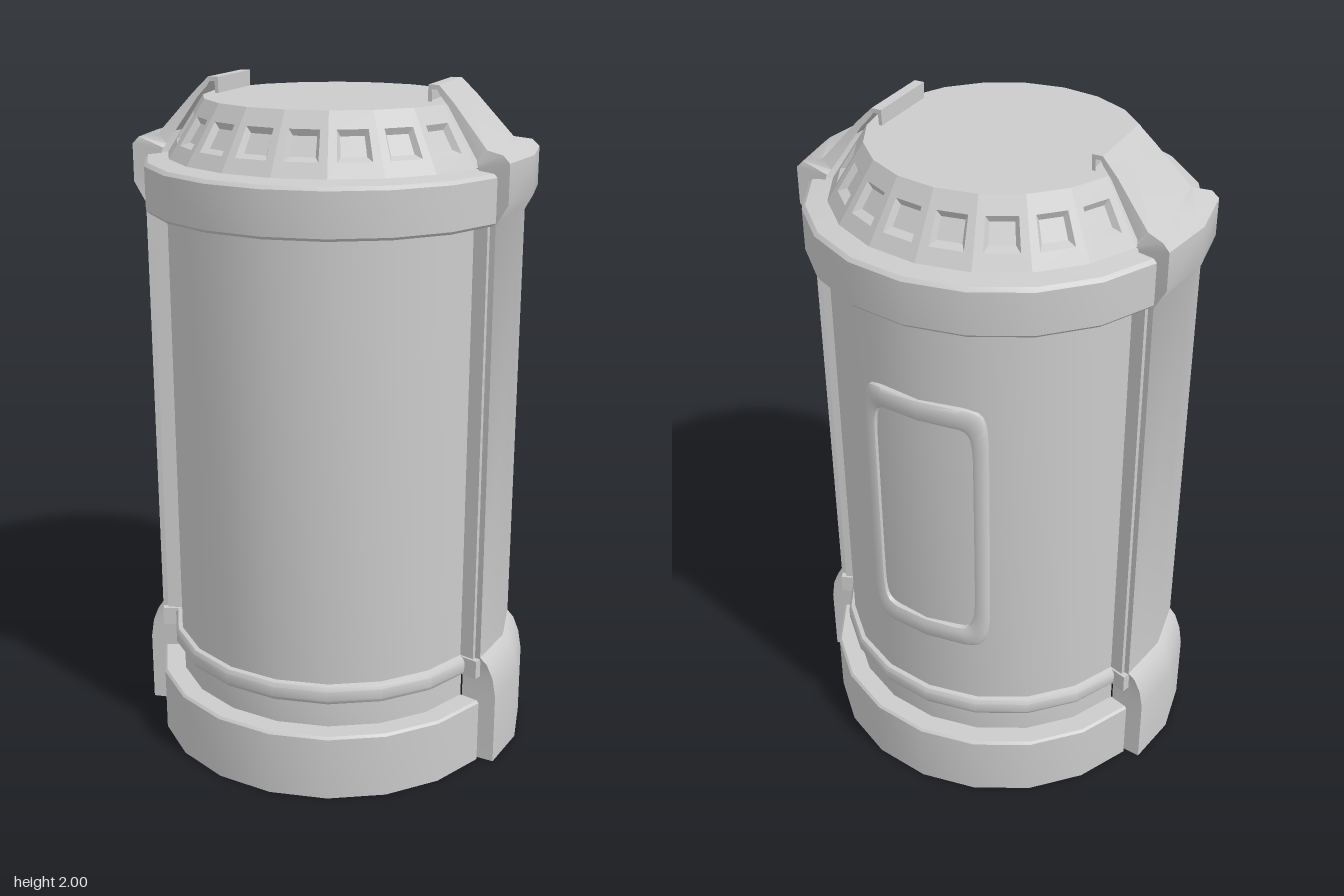
import * as THREE from 'three';
import { toCreasedNormals } from 'three/addons/utils/BufferGeometryUtils.js';

const material = new THREE.MeshStandardMaterial({ color: 0xcccccc, side: THREE.DoubleSide });
const SIDES = 20;
const STEP = (Math.PI * 2) / SIDES;

function addMesh(parent, name, geometry) {
  const mesh = new THREE.Mesh(geometry, material);
  mesh.name = name;
  parent.add(mesh);
  return mesh;
}

// Skin a surface over rows of points (all rows the same length).
function loft(rows, crease) {
  const n = rows[0].length;
  const index = [];
  for (let j = 0; j < rows.length - 1; j++) {
    for (let i = 0; i < n - 1; i++) {
      const a = j * n + i;
      index.push(a, a + n, a + 1, a + 1, a + n, a + n + 1);
    }
  }
  const geometry = new THREE.BufferGeometry().setFromPoints(rows.flat());
  geometry.setIndex(index);
  return toCreasedNormals(geometry, crease);
}

// Point on a cylinder around the y axis.
const polar = (r, a, y) => new THREE.Vector3(r * Math.sin(a), y, r * Math.cos(a));

// A wall between the two side columns, made once for the front and once for the back.
function addWalls(parent, name, profile) {
  const points = profile.map(([r, y]) => new THREE.Vector2(r, y));
  for (const start of [-4 * STEP, 6 * STEP]) {
    const geometry = new THREE.LatheGeometry(points, 8, start, 8 * STEP);
    addMesh(parent, name, toCreasedNormals(geometry, 0.6));
  }
}

// Side column: [centre x, edge x, y, half width, foot x, foot y, foot half width]
function columnGeometry() {
  const rows = [
    [0.6, 0.572, 0, 0.165, 0.466, 0, 0.15],
    [0.6, 0.572, 0.22, 0.165, 0.466, 0.22, 0.15],
    [0.59, 0.562, 0.28, 0.166, 0.466, 0.28, 0.15],
    [0.57, 0.543, 0.325, 0.168, 0.466, 0.325, 0.15],
    [0.55, 0.523, 0.345, 0.17, 0.466, 0.345, 0.15],
    [0.55, 0.523, 1.64, 0.172, 0.466, 1.64, 0.15],
    [0.583, 0.557, 1.7, 0.176, 0.47, 1.7, 0.155],
    [0.583, 0.557, 1.81, 0.176, 0.47, 1.79, 0.165],
    [0.56, 0.537, 1.83, 0.172, 0.465, 1.8, 0.165],
    [0.5, 0.487, 1.838, 0.15, 0.46, 1.81, 0.15],
    [0.385, 0.385, 1.955, 0.123, 0.37, 1.945, 0.123],
    [0.35, 0.35, 1.99, 0.117, 0.343, 1.975, 0.117],
    [0.34, 0.34, 2, 0.115, 0.335, 1.988, 0.115],
    [0.31, 0.31, 2, 0.115, 0.32, 1.988, 0.115],
    [0.31, 0.31, 1.955, 0.112, 0.32, 1.955, 0.112],
  ].map(([xc, xe, y, w, xf, yf, wf]) => [
    new THREE.Vector3(xf, yf, -wf),
    new THREE.Vector3(xe, y, -w),
    new THREE.Vector3(xc, y, 0),
    new THREE.Vector3(xe, y, w),
    new THREE.Vector3(xf, yf, wf),
  ]);
  return loft(rows, 0.7);
}

// One facet of the sloping lid with a recessed window.
function lidFacet(angle, recessed) {
  const mid = angle + STEP / 2;
  const normal = polar(0.836, mid, 0.549);
  const corner = (u, v, depth) => {
    const r = 0.48 - 0.105 * v, y = 1.788 + 0.162 * v;
    return polar(r, angle, y).lerp(polar(r, angle + STEP, y), u).addScaledVector(normal, -depth);
  };
  const loop = (u, v0, v1, depth) =>
    [[u, v0], [u, v1], [1 - u, v1], [1 - u, v0], [u, v0]].map(([a, b]) => corner(a, b, depth));
  const d = recessed ? 0.016 : 0;
  return loft([
    loop(0, 0, 1, 0),
    loop(0.17, 0.24, 0.72, 0),
    loop(0.25, 0.35, 0.66, d),
    loop(0.5, 0.5, 0.5, d),
  ], 0.1);
}

// Raised frame wrapped around the back wall: [half angle, half height, radius]
function frameGeometry() {
  const soft = (v) => Math.sign(v) * Math.pow(Math.abs(v), 0.2);
  const rows = [
    [0.405, 0.42, 0.475],
    [0.395, 0.415, 0.498],
    [0.38, 0.405, 0.504],
    [0.335, 0.37, 0.504],
    [0.315, 0.355, 0.498],
    [0.305, 0.35, 0.475],
  ].map(([a, h, r]) => {
    const row = [];
    for (let i = 0; i <= 64; i++) {
      const t = (i / 64) * Math.PI * 2;
      row.push(polar(r, Math.PI + a * soft(Math.sin(t)), 0.97 + h * soft(Math.cos(t))));
    }
    return row;
  });
  return loft(rows, 0.8);
}

export function createModel() {
  const model = new THREE.Group();
  model.name = 'canister';

  // Base, neck, rounded band, body and cap ring
  addWalls(model, 'base', [[0.55, 0], [0.55, 0.193], [0.543, 0.2], [0.485, 0.2]]);
  addWalls(model, 'neck', [[0.485, 0.2], [0.485, 0.28]]);
  addWalls(model, 'band', [[0.485, 0.28], [0.503, 0.283], [0.51, 0.295], [0.51, 0.325], [0.503, 0.337], [0.49, 0.34]]);
  addWalls(model, 'body', [[0.49, 0.34], [0.49, 1.64]]);
  addWalls(model, 'capRing', [[0.49, 1.64], [0.543, 1.64], [0.55, 1.648], [0.55, 1.77], [0.54, 1.78], [0.48, 1.788]]);

  // Lid
  const lid = new THREE.Group();
  lid.name = 'lid';
  model.add(lid);
  for (let i = 0; i < SIDES; i++) {
    const underColumn = i % 10 === 4 || i % 10 === 5;
    addMesh(lid, 'lidFacet', lidFacet(i * STEP, !underColumn));
  }
  const top = addMesh(lid, 'lidTop', new THREE.CircleGeometry(0.375, SIDES));
  top.rotation.x = -Math.PI / 2;
  top.position.y = 1.95;

  // Side columns with hooked top flaps
  const column = columnGeometry();
  for (const turn of [0, Math.PI]) {
    addMesh(model, 'sideColumn', column).rotation.y = turn;
  }

  // Trim and band ends along the column edges
  const trim = new THREE.BoxGeometry(0.012, 1.3, 0.065);
  const bandEnd = new THREE.BoxGeometry(0.024, 0.058, 0.08);
  for (const side of [0, Math.PI]) {
    for (const s of [-1, 1]) {
      const angle = side + s * (4 * STEP - 0.012);
      const strip = addMesh(model, 'edgeTrim', trim);
      strip.position.copy(polar(0.5, angle, 0.99));
      strip.rotation.y = angle;
      const end = addMesh(model, 'bandEnd', bandEnd);
      end.position.copy(polar(0.508, angle, 0.31));
      end.rotation.y = angle;
    }
  }

  // Back panel frame
  addMesh(model, 'backFrame', frameGeometry());
  return model;
}
